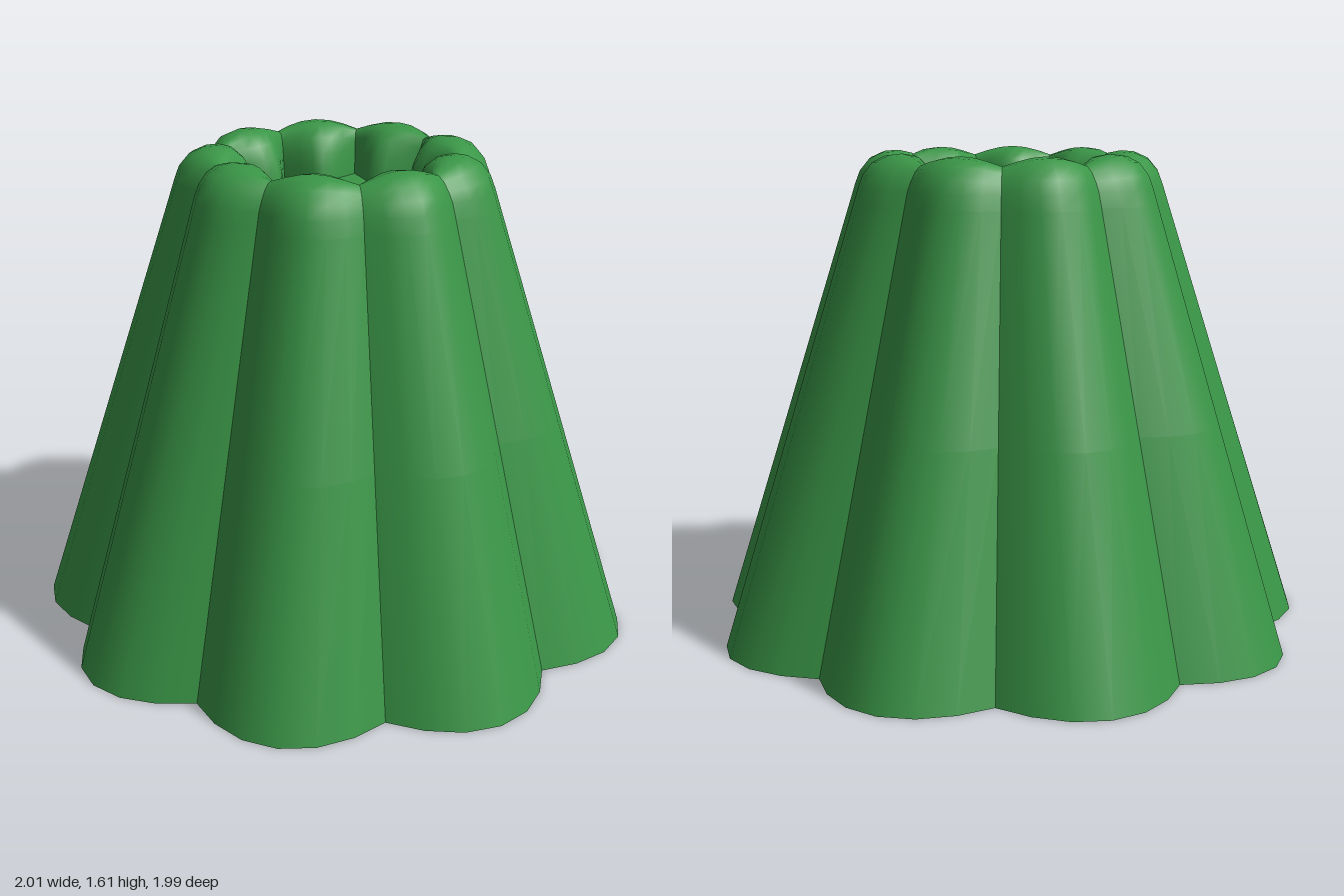
import * as THREE from 'three';

const LOBES = 9, SEGS = 6, STEP = (Math.PI * 2) / LOBES;

// Matching profiles [radius, height] up the outside, over the rim and down to the recess
const crest = [[1.018, 0], [0.773, 0.75], [0.544, 1.45], [0.528, 1.5], [0.511, 1.545], [0.477, 1.585],
  [0.43, 1.606], [0.385, 1.61], [0.34, 1.602], [0.3, 1.57], [0.272, 1.52], [0.257, 1.47], [0.25, 1.43]];
const valley = [[0.877, 0], [0.672, 0.75], [0.481, 1.45], [0.467, 1.5], [0.452, 1.53], [0.432, 1.56],
  [0.41, 1.577], [0.395, 1.58], [0.382, 1.575], [0.372, 1.55], [0.367, 1.51], [0.363, 1.47], [0.36, 1.43]];

// Point on the fluted surface: t runs from -0.5 to 0.5 across one lobe
function fluted(row, t, angle) {
  const w = Math.abs(Math.cos(t * Math.PI));
  const r = THREE.MathUtils.lerp(valley[row][0], crest[row][0], w);
  const y = THREE.MathUtils.lerp(valley[row][1], crest[row][1], w);
  return [r * Math.sin(angle), y, r * Math.cos(angle)];
}

// One lobe, smooth inside and creased where it meets its neighbours
function lobeGeometry() {
  const pos = [], index = [], cols = SEGS + 1;
  crest.forEach((_, row) => {
    for (let i = 0; i <= SEGS; i++) {
      const t = i / SEGS - 0.5;
      pos.push(...fluted(row, t, t * STEP));
      if (row && i) {
        const d = row * cols + i, c = d - 1, b = d - cols, a = b - 1;
        index.push(a, b, d, a, d, c);
      }
    }
  });
  const geo = new THREE.BufferGeometry();
  geo.setAttribute('position', new THREE.Float32BufferAttribute(pos, 3));
  geo.setIndex(index);
  geo.computeVertexNormals();
  return geo;
}

// Flat scalloped cap closing a row of the profile
function capGeometry(row, faceUp) {
  const pts = [];
  for (let i = 0; i < LOBES * SEGS; i++) {
    const t = (i % SEGS) / SEGS - 0.5;
    const [x, , z] = fluted(row, t, (i / SEGS) * STEP);
    pts.push(new THREE.Vector2(x, faceUp ? -z : z));
  }
  const geo = new THREE.ShapeGeometry(new THREE.Shape(pts));
  geo.rotateX(faceUp ? -Math.PI / 2 : Math.PI / 2);
  geo.translate(0, crest[row][1], 0);
  return geo;
}

export function createModel() {
  const group = new THREE.Group();
  group.name = 'flutedCone';
  const green = new THREE.MeshStandardMaterial({ color: 0x3a9647 });
  green.name = 'green';

  const add = (geo, name) => {
    const mesh = new THREE.Mesh(geo, green);
    mesh.name = name;
    mesh.position.z = 0.028;
    group.add(mesh);
    return mesh;
  };

  // Ring of lobes with a valley at the front and a crest at the back
  const lobe = lobeGeometry();
  for (let i = 0; i < LOBES; i++) add(lobe, 'lobe' + (i + 1)).rotation.y = (i + 0.5) * STEP;

  add(capGeometry(0, false), 'base');
  add(capGeometry(crest.length - 1, true), 'recessFloor');
  return group;
}
